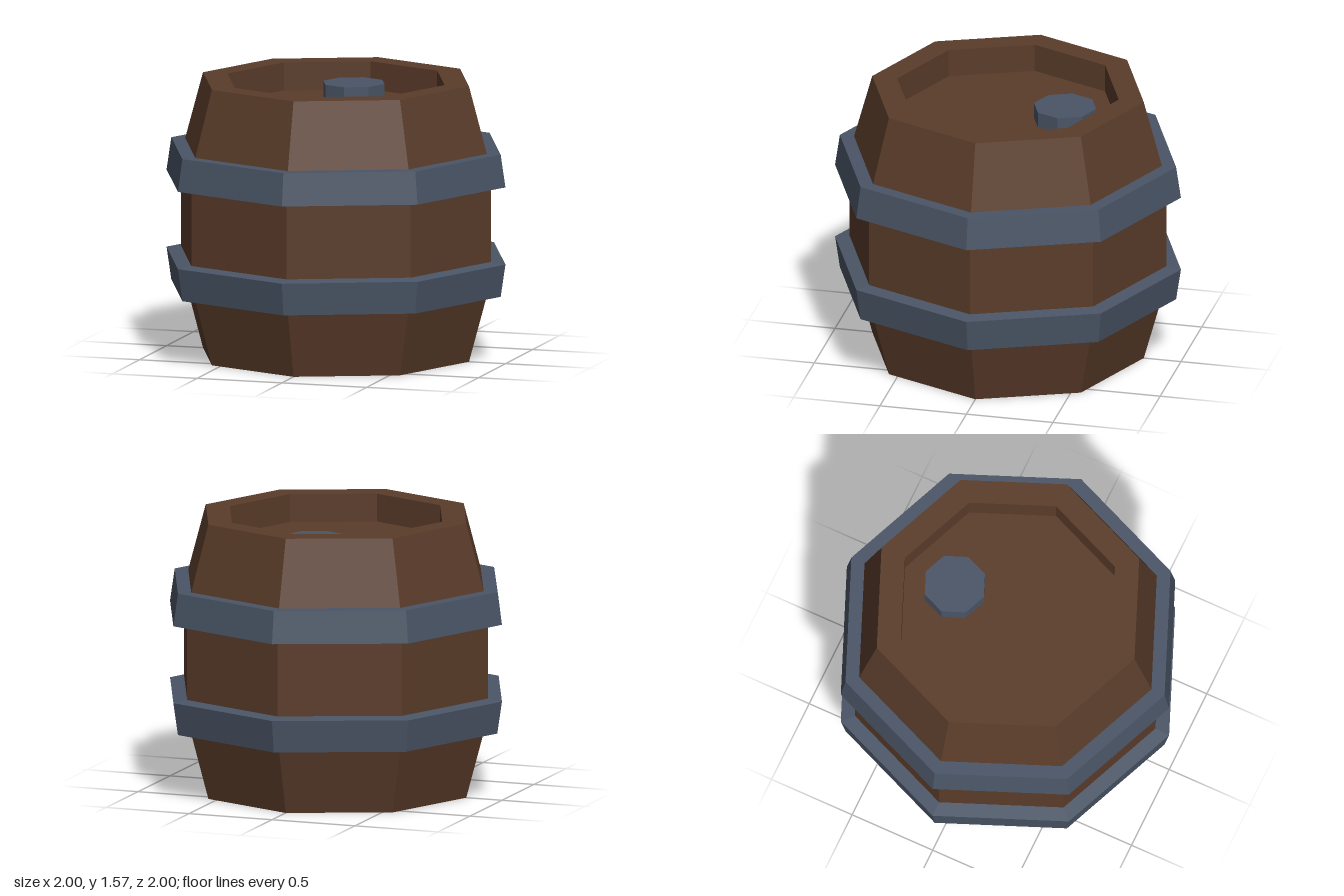
import * as THREE from 'three';

const SIDES = 8;
const HEIGHT = 1.57;
const wood = new THREE.MeshStandardMaterial({ color: 0x5a3c2a, flatShading: true });
const iron = new THREE.MeshStandardMaterial({ color: 0x4a5566, flatShading: true });

// Faceted mesh with true flat normals
function faceted(name, geometry, material) {
  const flat = geometry.toNonIndexed();
  flat.computeVertexNormals();
  const mesh = new THREE.Mesh(flat, material);
  mesh.name = name;
  return mesh;
}

// Eight-sided turned part from [radius, y] pairs, listed bottom to top on the outside
function turned(name, profile, material) {
  const points = profile.map(([r, y]) => new THREE.Vector2(r, y));
  return faceted(name, new THREE.LatheGeometry(points, SIDES), material);
}

// Mirror a half profile about the barrel's mid height, keeping the winding
const flip = (profile) => profile.map(([r, y]) => [r, HEIGHT - y]).reverse();

export function createModel() {
  const barrel = new THREE.Group();
  barrel.name = 'barrel';

  // Staves with a recessed head at each end
  const recess = 0.16;
  const lowerHalf = [[0, recess], [0.64, recess], [0.64, 0], [0.785, 0], [0.915, 0.47]];
  barrel.add(turned('barrelBody', [...lowerHalf, ...flip(lowerHalf)], wood));

  // Two hoops, flaring towards the middle
  const hoop = [[0.88, 0.38], [0.972, 0.38], [1, 0.565], [0.91, 0.577]];
  barrel.add(turned('lowerHoop', hoop, iron));
  barrel.add(turned('upperHoop', flip(hoop), iron));

  // Bung set towards the back of the top head
  const bungHeight = 0.09;
  const bung = faceted('bung', new THREE.CylinderGeometry(0.18, 0.18, bungHeight, SIDES), iron);
  bung.position.set(0, HEIGHT - recess + bungHeight / 2, -0.33);
  barrel.add(bung);

  return barrel;
}
